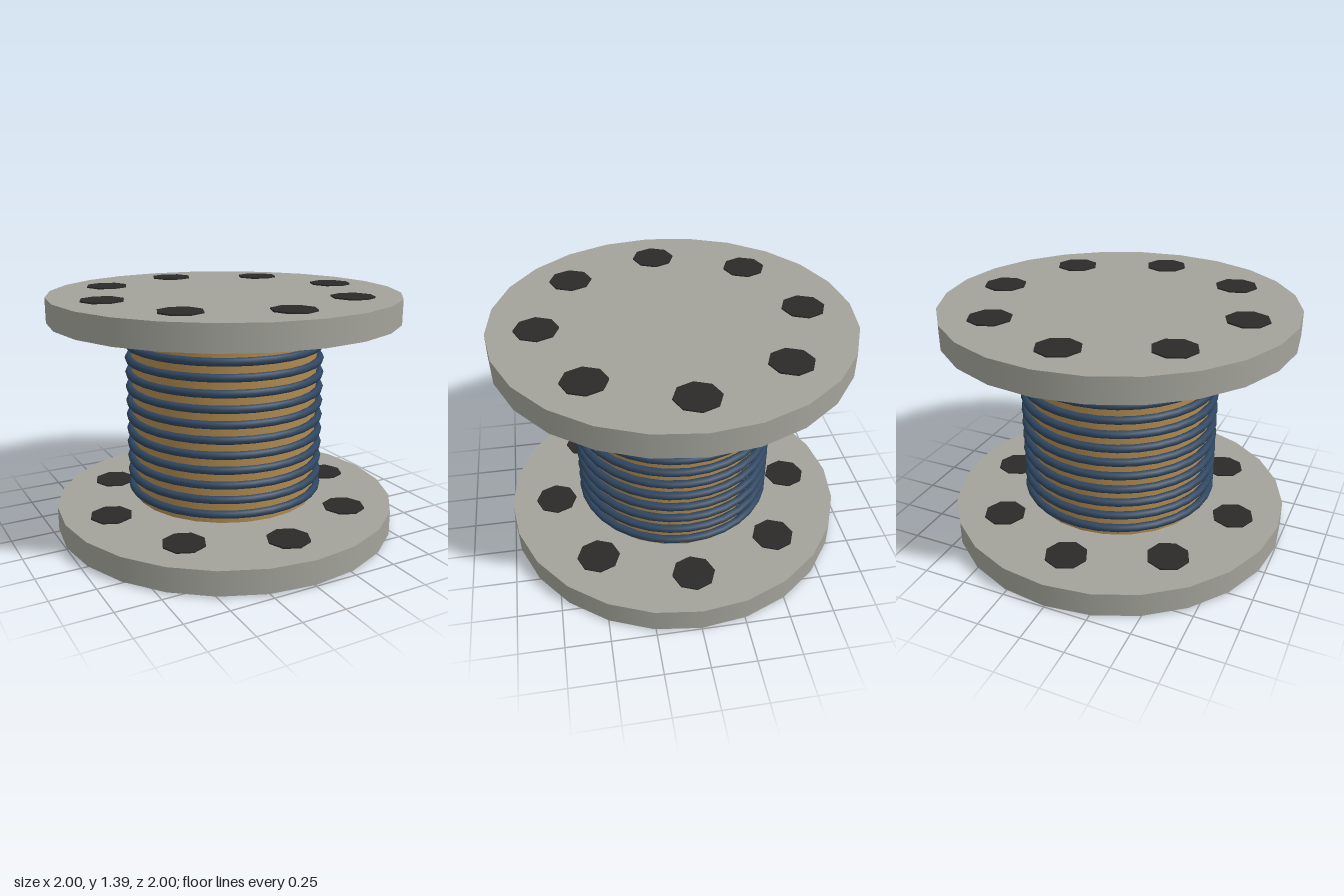
import * as THREE from 'three';

const material = (color) => new THREE.MeshStandardMaterial({ color });

export function createModel() {
  const group = new THREE.Group();
  group.name = 'cableSpool';
  const flangeMat = material(0xa3a39b);
  const boltMat = material(0x2b2a29);
  const coreMat = material(0xb08a50);
  const cableMat = material(0x2f4660);

  const add = (parent, name, geometry, mat, x, y, z) => {
    const mesh = new THREE.Mesh(geometry, mat);
    mesh.name = name;
    mesh.position.set(x, y, z);
    parent.add(mesh);
    return mesh;
  };

  // Two end flanges, each with a circle of eight bolts showing on both faces
  const flangeGeo = new THREE.CylinderGeometry(1, 1, 0.14, 24);
  const boltGeo = new THREE.CylinderGeometry(0.122, 0.122, 0.156, 8);
  for (const [name, y] of [['bottomFlange', 0.08], ['topFlange', 1.31]]) {
    const flange = new THREE.Group();
    flange.name = name;
    flange.position.y = y;
    add(flange, 'disc', flangeGeo, flangeMat, 0, 0, 0);
    for (let i = 0; i < 8; i++) {
      const a = (i * Math.PI) / 4;
      add(flange, 'bolt', boltGeo, boltMat, 0.73 * Math.cos(a), 0, 0.73 * Math.sin(a));
    }
    group.add(flange);
  }

  // Drum between the flanges
  add(group, 'core', new THREE.CylinderGeometry(0.54, 0.54, 1, 24), coreMat, 0, 0.695, 0);

  // Twelve turns of cable
  const turnGeo = new THREE.TorusGeometry(0.553, 0.023, 8, 32).rotateX(Math.PI / 2);
  for (let i = 0; i < 12; i++) {
    add(group, 'cableTurn', turnGeo, cableMat, 0, 0.25 + i * 0.0847, 0);
  }
  return group;
}
